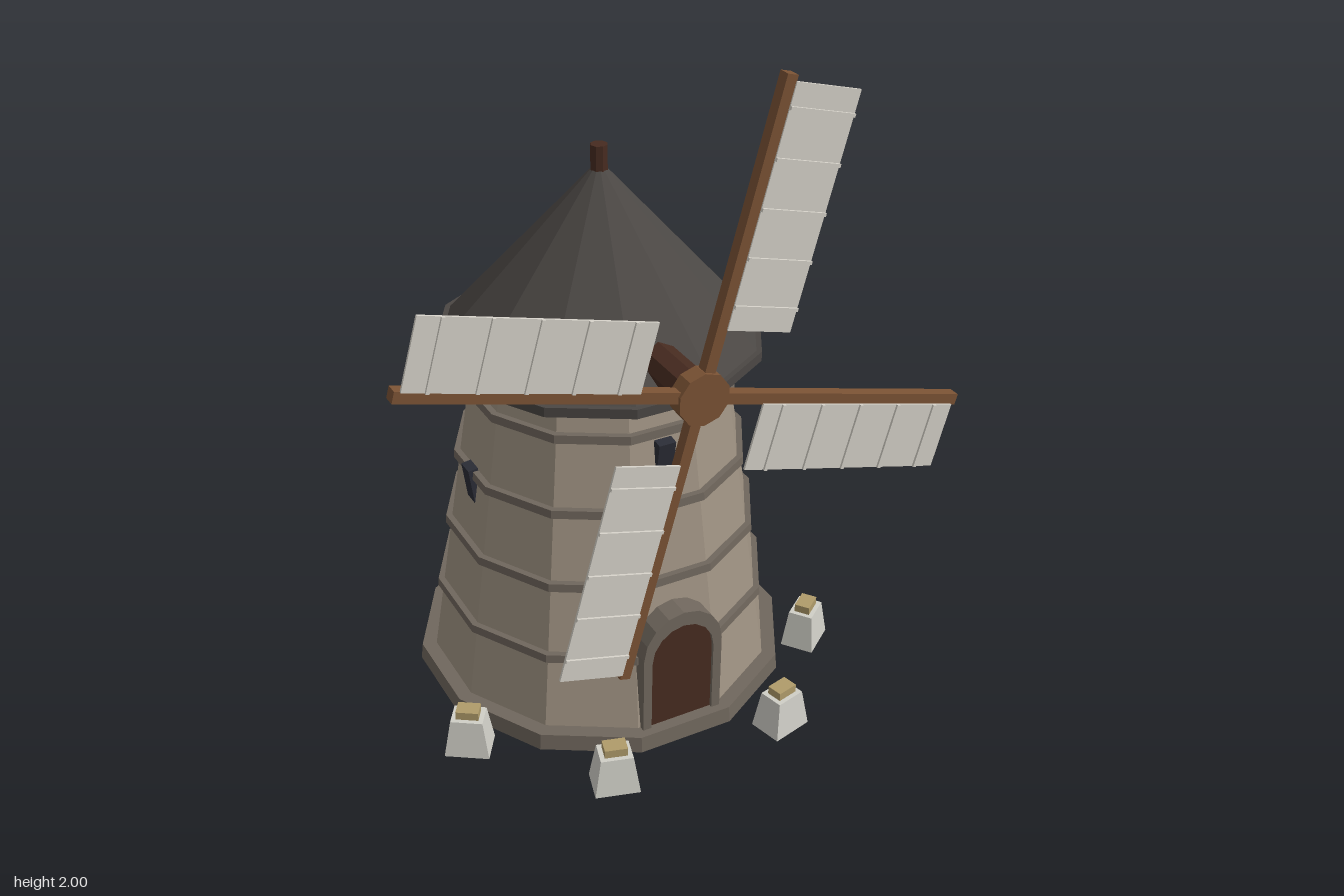
import * as THREE from 'three';

const mat = (name, color) => {
  const m = new THREE.MeshStandardMaterial({ color });
  m.name = name;
  return m;
};

export function createModel() {
  const plaster = mat('tower plaster', 0xa09383);
  const trim = mat('stone trim', 0x70675d);
  const slate = mat('roof slate', 0x4b4744);
  const darkWood = mat('dark wood', 0x472b20);
  const wood = mat('sail wood', 0x7a5234);
  const glass = mat('window dark', 0x2b2d36);
  const cloth = mat('sail cloth', 0xd4d0c7);
  const stone = mat('pale stone', 0xd0cfc7);
  const straw = mat('straw', 0xb09c6a);

  const model = new THREE.Group();
  model.name = 'windmill';
  const CZ = -0.07; // tower axis

  // faceted mesh helper
  const add = (parent, name, geo, material, x = 0, y = 0, z = 0) => {
    const flat = geo.index ? geo.toNonIndexed() : geo;
    flat.computeVertexNormals();
    const mesh = new THREE.Mesh(flat, material);
    mesh.name = name;
    mesh.position.set(x, y, z);
    parent.add(mesh);
    return mesh;
  };

  // twelve-sided ring with a flat face to the front, sized by half-width
  const prism = (name, top, bottom, y0, y1, material) => {
    const k = 1 / Math.cos(Math.PI / 12);
    const geo = new THREE.CylinderGeometry(top * k, bottom * k, y1 - y0, 12, 1, false, Math.PI / 12);
    return add(model, name, geo, material, 0, (y0 + y1) / 2, CZ);
  };
  const wall = (y) => 0.51 - 0.145 * y; // tower half-width at a height

  // tower, base and bands
  prism('towerBase', 0.545, 0.55, 0, 0.05, trim);
  prism('tower', wall(1.08), wall(0.03), 0.03, 1.08, plaster);
  for (const y of [0.28, 0.505, 0.73, 0.953]) {
    prism('towerBand', wall(y) + 0.016, wall(y) + 0.018, y - 0.0125, y + 0.0125, trim);
  }

  // roof
  prism('roofEave', 0.46, 0.46, 1.065, 1.094, slate);
  const k12 = 1 / Math.cos(Math.PI / 12);
  add(model, 'roof', new THREE.ConeGeometry(0.448 * k12, 0.52, 12, 1, false, Math.PI / 12), slate, 0, 1.35, CZ);
  add(model, 'roofFinial', new THREE.CylinderGeometry(0.025, 0.025, 0.1, 8), darkWood, 0, 1.605, CZ);

  // windows: one high at the front, three lower on the other sides
  [[0, 0.865], [1, 0.687], [2, 0.687], [3, 0.687]].forEach(([turn, y]) => {
    const holder = new THREE.Group();
    holder.name = 'window';
    holder.position.set(0, y, CZ);
    holder.rotation.y = turn * Math.PI / 2;
    add(holder, 'windowPane', new THREE.BoxGeometry(0.052, 0.125, 0.03), glass, 0, 0, wall(y)).rotation.x = 0.144;
    model.add(holder);
  });

  // arched door and surround
  const arch = (w, spring, top, path) => {
    path.moveTo(-w, 0.03);
    path.lineTo(w, 0.03);
    for (let i = 0; i <= 8; i++) {
      const a = i * Math.PI / 8;
      path.lineTo(w * Math.cos(a), spring + (top - spring) * Math.sin(a));
    }
    path.closePath();
    return path;
  };
  const frame = arch(0.127, 0.3, 0.43, new THREE.Shape());
  frame.holes.push(arch(0.1, 0.28, 0.385, new THREE.Path()));
  add(model, 'doorFrame', new THREE.ExtrudeGeometry(frame, { depth: 0.09, bevelEnabled: false }), trim, 0, 0, 0.36);
  const leaf = arch(0.1, 0.28, 0.385, new THREE.Shape());
  add(model, 'door', new THREE.ExtrudeGeometry(leaf, { depth: 0.08, bevelEnabled: false }), darkWood, 0, 0, 0.36);

  // axle and hub
  const HY = 1.16;
  const axle = new THREE.CylinderGeometry(0.055, 0.055, 0.44, 8).rotateX(Math.PI / 2);
  add(model, 'axle', axle, darkWood, 0, HY - 0.004, 0.265);
  const rotor = new THREE.Group();
  rotor.name = 'rotor';
  rotor.position.set(0, HY, 0.5);
  model.add(rotor);
  add(rotor, 'hub', new THREE.CylinderGeometry(0.077, 0.077, 0.052, 10).rotateX(Math.PI / 2), wood);

  // four sails: spar, cloth panel and cross slats
  for (let i = 0; i < 4; i++) {
    const sail = new THREE.Group();
    sail.name = 'sail';
    sail.rotation.z = -Math.PI / 12 - i * Math.PI / 2;
    add(sail, 'spar', new THREE.BoxGeometry(0.032, 0.865, 0.034), wood, 0, 0.4325, 0);
    add(sail, 'sailCloth', new THREE.BoxGeometry(0.197, 0.655, 0.007), cloth, 0.1125, 0.522, 0.0175);
    for (let j = 0; j < 5; j++) {
      add(sail, 'sailSlat', new THREE.BoxGeometry(0.197, 0.01, 0.007), cloth, 0.1125, 0.26 + j * 0.131, 0.024);
    }
    rotor.add(sail);
  }

  // tapered stones around the base: x, z, turn in degrees
  const stones = [[-0.577, 0.225, -33], [-0.275, 0.555, -16], [0.275, 0.555, 14], [0.56, 0.243, 37], [0.5, -0.35, 12]];
  for (const [x, z, deg] of stones) {
    const group = new THREE.Group();
    group.name = 'markerStone';
    group.position.set(x, 0, z);
    group.rotation.y = THREE.MathUtils.degToRad(deg);
    const body = new THREE.CylinderGeometry(0.72 * Math.SQRT1_2, Math.SQRT1_2, 0.116, 4, 1, false, Math.PI / 4);
    add(group, 'stoneBody', body.scale(0.13, 1, 0.102), stone, 0, 0.058, 0);
    add(group, 'stoneCap', new THREE.BoxGeometry(0.066, 0.03, 0.047), straw, 0, 0.126, 0);
    model.add(group);
  }

  return model;
}
